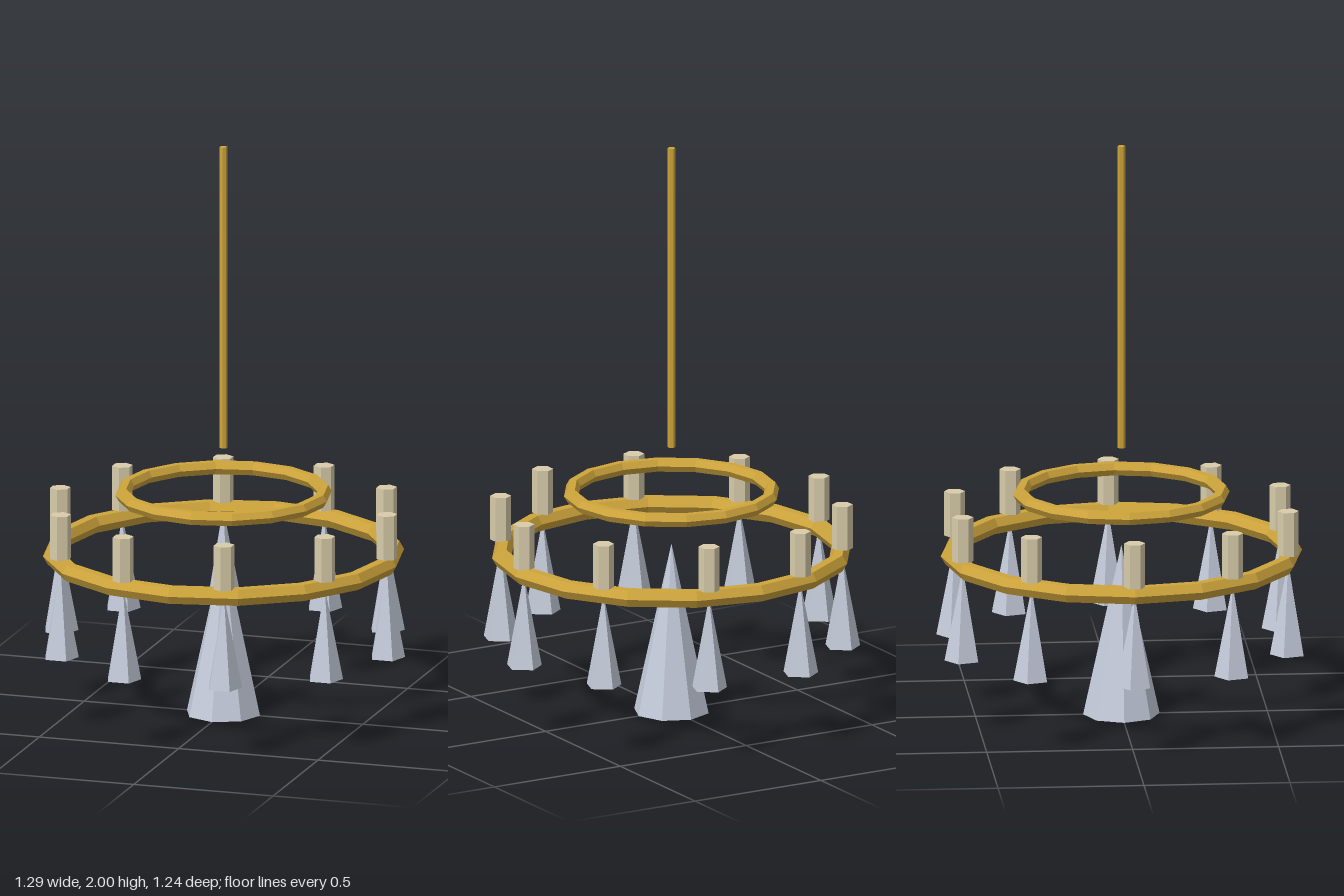
import * as THREE from 'three';

const paint = (name, color) => {
  const m = new THREE.MeshStandardMaterial({ color, flatShading: true });
  m.name = name;
  return m;
};

export function createModel() {
  const gold = paint('gold', 0xcfa53c);
  const ivory = paint('ivory', 0xd8ccaa);
  const crystal = paint('crystal', 0xc6cddc);

  const root = new THREE.Group();
  root.name = 'chandelier';

  const add = (name, geometry, material, x, y, z, parent = root) => {
    const mesh = new THREE.Mesh(geometry, material);
    mesh.name = name;
    mesh.position.set(x, y, z);
    parent.add(mesh);
    return mesh;
  };

  // Hanging rod
  add('rod', new THREE.CylinderGeometry(0.0135, 0.0135, 1.063, 6), gold, 0, 1.4685, 0);

  // Two horizontal hoops, hexagonal in section
  const hoop = (name, radius, tube, y) =>
    add(name, new THREE.TorusGeometry(radius, tube, 6, 16).rotateX(Math.PI / 2), gold, 0, y, 0);
  hoop('upperRing', 0.346, 0.025, 0.776);
  hoop('lowerRing', 0.586, 0.033, 0.566);

  // Large central drop
  add('centreCrystal', new THREE.ConeGeometry(0.131, 0.595, 8), crystal, 0, 0.2975, 0);

  // Candles on the lower ring, each with a five-sided drop beneath
  const candleGeo = new THREE.CylinderGeometry(0.036, 0.036, 0.155, 6);
  const dropGeo = new THREE.ConeGeometry(0.0625, 0.325, 5).rotateY(Math.PI);
  const count = 10;
  for (let i = 0; i < count; i++) {
    const a = (i / count) * Math.PI * 2;
    const arm = new THREE.Group();
    arm.name = 'candleAndDrop';
    arm.position.set(0.586 * Math.cos(a), 0, 0.586 * Math.sin(a));
    add('candle', candleGeo, ivory, 0, 0.671, 0, arm);
    add('crystalDrop', dropGeo, crystal, 0, 0.4075, 0, arm);
    root.add(arm);
  }

  return root;
}
